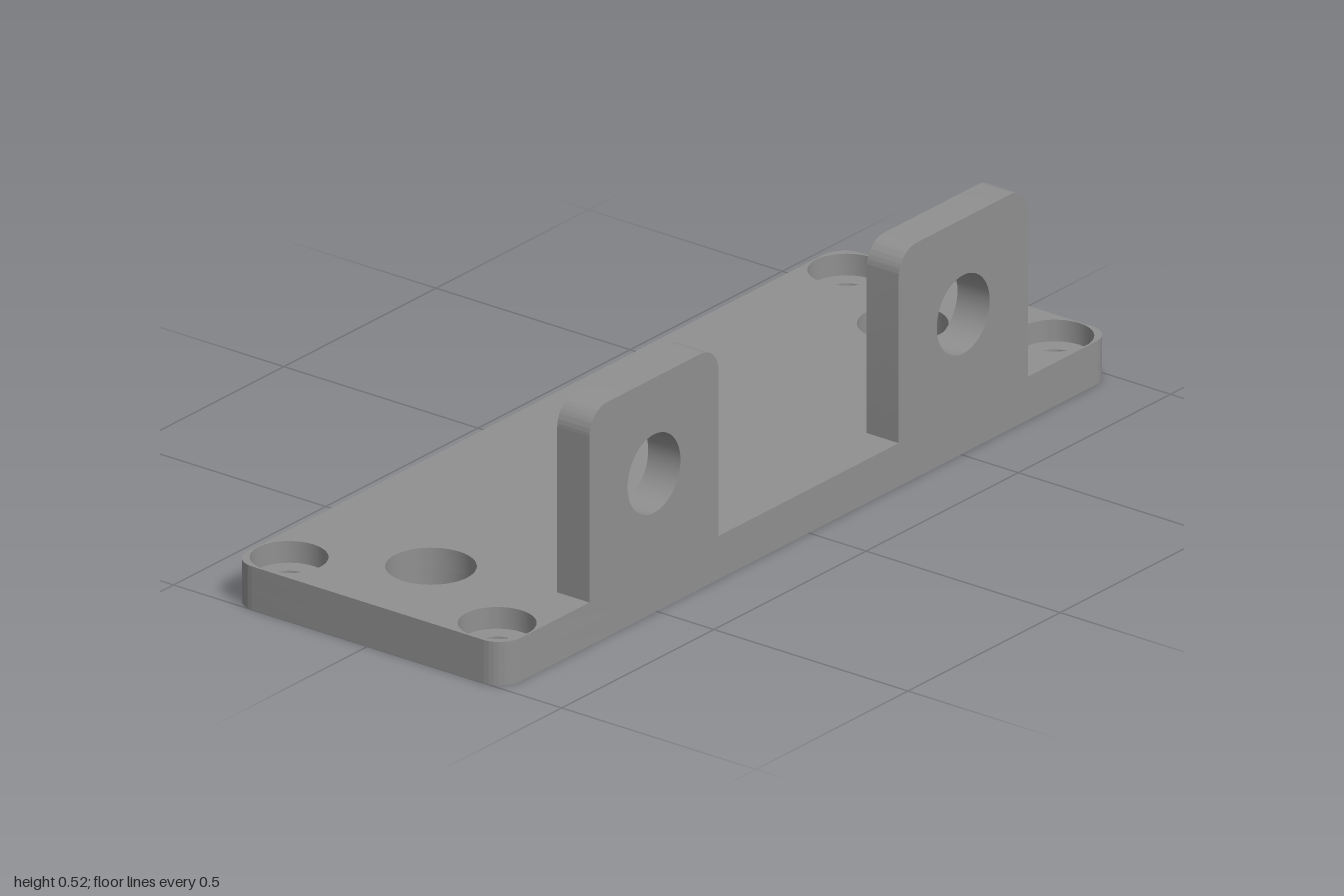
import * as THREE from 'three';
import { toCreasedNormals } from 'three/addons/utils/BufferGeometryUtils.js';

const HALF_X = 1, HALF_Z = 0.352;
const PLATE_H = 0.096, BORE_FLOOR = 0.048, CORNER = 0.055;

// Rectangle with separate radii for its bottom and top corners
function roundedRect(x0, y0, x1, y1, rBottom, rTop) {
  const s = new THREE.Shape();
  s.moveTo(x0 + rBottom, y0);
  s.lineTo(x1 - rBottom, y0);
  if (rBottom) s.absarc(x1 - rBottom, y0 + rBottom, rBottom, -Math.PI / 2, 0, false);
  s.lineTo(x1, y1 - rTop);
  s.absarc(x1 - rTop, y1 - rTop, rTop, 0, Math.PI / 2, false);
  s.lineTo(x0 + rTop, y1);
  s.absarc(x0 + rTop, y1 - rTop, rTop, Math.PI / 2, Math.PI, false);
  s.lineTo(x0, y0 + rBottom);
  if (rBottom) s.absarc(x0 + rBottom, y0 + rBottom, rBottom, Math.PI, Math.PI * 1.5, false);
  return s;
}

function addHole(shape, x, y, r) {
  const hole = new THREE.Path();
  hole.absarc(x, y, r, 0, Math.PI * 2, true);
  shape.holes.push(hole);
}

function extrude(shape, depth) {
  const g = new THREE.ExtrudeGeometry(shape, { depth, bevelEnabled: false, curveSegments: 24 });
  return toCreasedNormals(g, 0.6);
}

// Horizontal plate layer with corner screw holes and two large holes
function plateLayer(y0, y1, screwRadius) {
  const shape = roundedRect(-HALF_X, -HALF_Z, HALF_X, HALF_Z, CORNER, CORNER);
  for (const sx of [-1, 1]) {
    for (const sz of [-1, 1]) addHole(shape, sx * 0.916, sz * 0.268, screwRadius);
    addHole(shape, sx * 0.775, 0.013, 0.093);
  }
  return extrude(shape, y1 - y0).rotateX(-Math.PI / 2).translate(0, y0, 0);
}

export function createModel() {
  const model = new THREE.Group();
  model.name = 'mountingBracket';
  const metal = new THREE.MeshStandardMaterial({ color: 0x909090 });
  metal.name = 'grey metal';

  const add = (name, geometry) => {
    const mesh = new THREE.Mesh(geometry, metal);
    mesh.name = name;
    model.add(mesh);
  };

  // Base plate: narrow screw holes below, wide counterbores above
  add('basePlateLower', plateLayer(0, BORE_FLOOR, 0.04));
  add('basePlateUpper', plateLayer(BORE_FLOOR, PLATE_H, 0.08));

  // Upright lugs, flush with the front edge
  for (const [name, x] of [['rightLug', -0.508], ['leftLug', 0.508]]) {
    const lug = roundedRect(x - 0.212, PLATE_H, x + 0.212, 0.52, 0, 0.058);
    addHole(lug, x, 0.308, 0.087);
    add(name, extrude(lug, 0.083).translate(0, 0, HALF_Z - 0.083));
  }
  return model;
}
